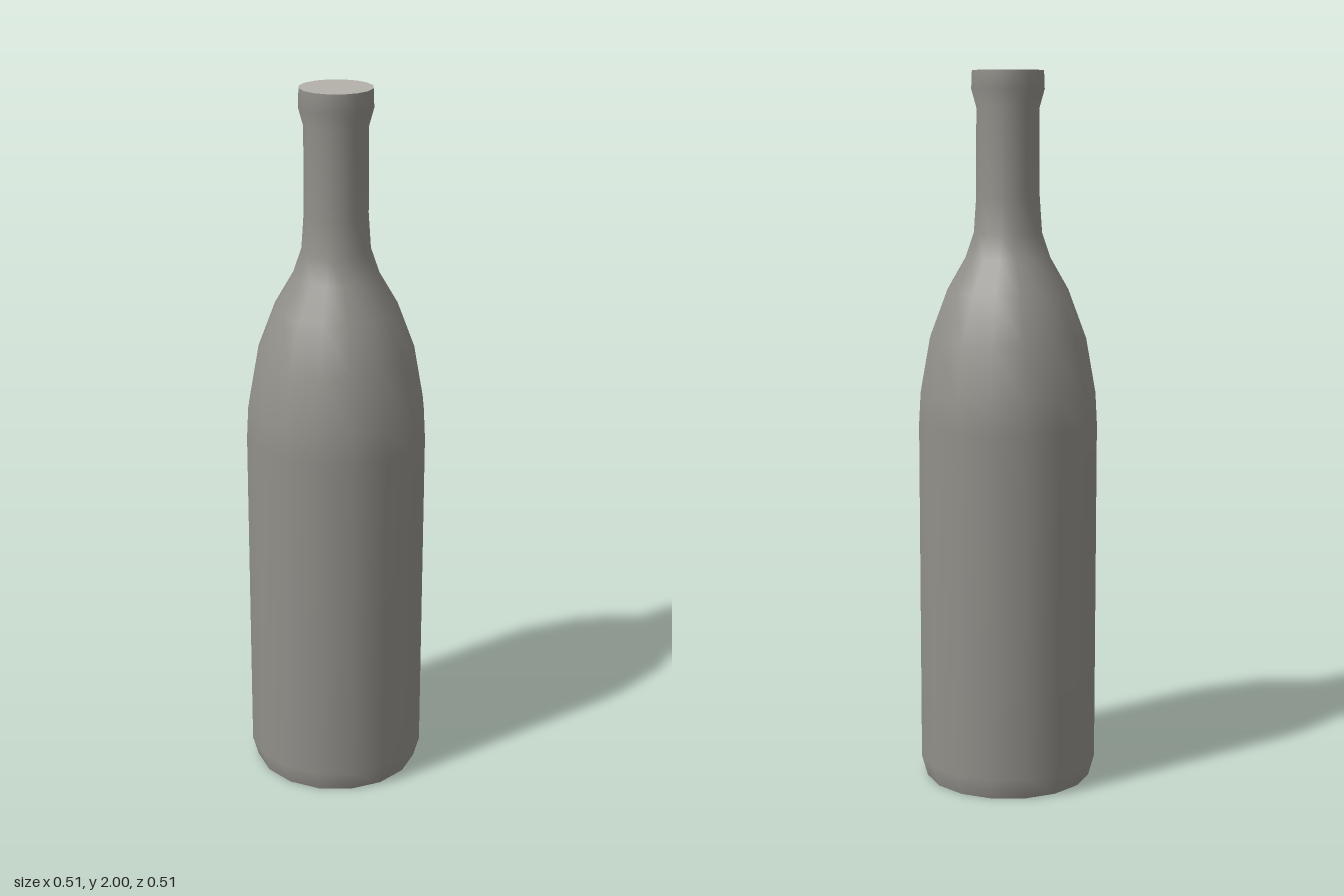
import * as THREE from 'three';

const SIDES = 16;

export function createModel() {
  const bottle = new THREE.Group();
  bottle.name = 'bottle';
  const glass = new THREE.MeshStandardMaterial({ color: 0x92908a });
  const stopper = new THREE.MeshStandardMaterial({ color: 0xb3b1a9 });

  const add = (name, geometry, material, y = 0) => {
    const mesh = new THREE.Mesh(geometry, material);
    mesh.name = name;
    mesh.position.y = y;
    bottle.add(mesh);
  };

  // Outer profile as [radius, height]: foot, body, shoulder, neck, lip
  const profile = [
    [0.236, 0], [0.253, 0.06], [0.253, 1.03], [0.248, 1.12], [0.221, 1.27],
    [0.172, 1.4], [0.12, 1.49], [0.096, 1.56], [0.089, 1.66],
    [0.088, 1.9], [0.102, 1.95], [0.1, 2],
  ].map(([r, y]) => new THREE.Vector2(r, y));
  add('bottleBody', new THREE.LatheGeometry(profile, SIDES), glass);

  // Flat discs closing the base and the mouth
  add('base', new THREE.CircleGeometry(0.236, SIDES).rotateX(Math.PI / 2), glass);
  add('mouth', new THREE.CircleGeometry(0.1, SIDES).rotateX(-Math.PI / 2), stopper, 2);

  return bottle;
}
